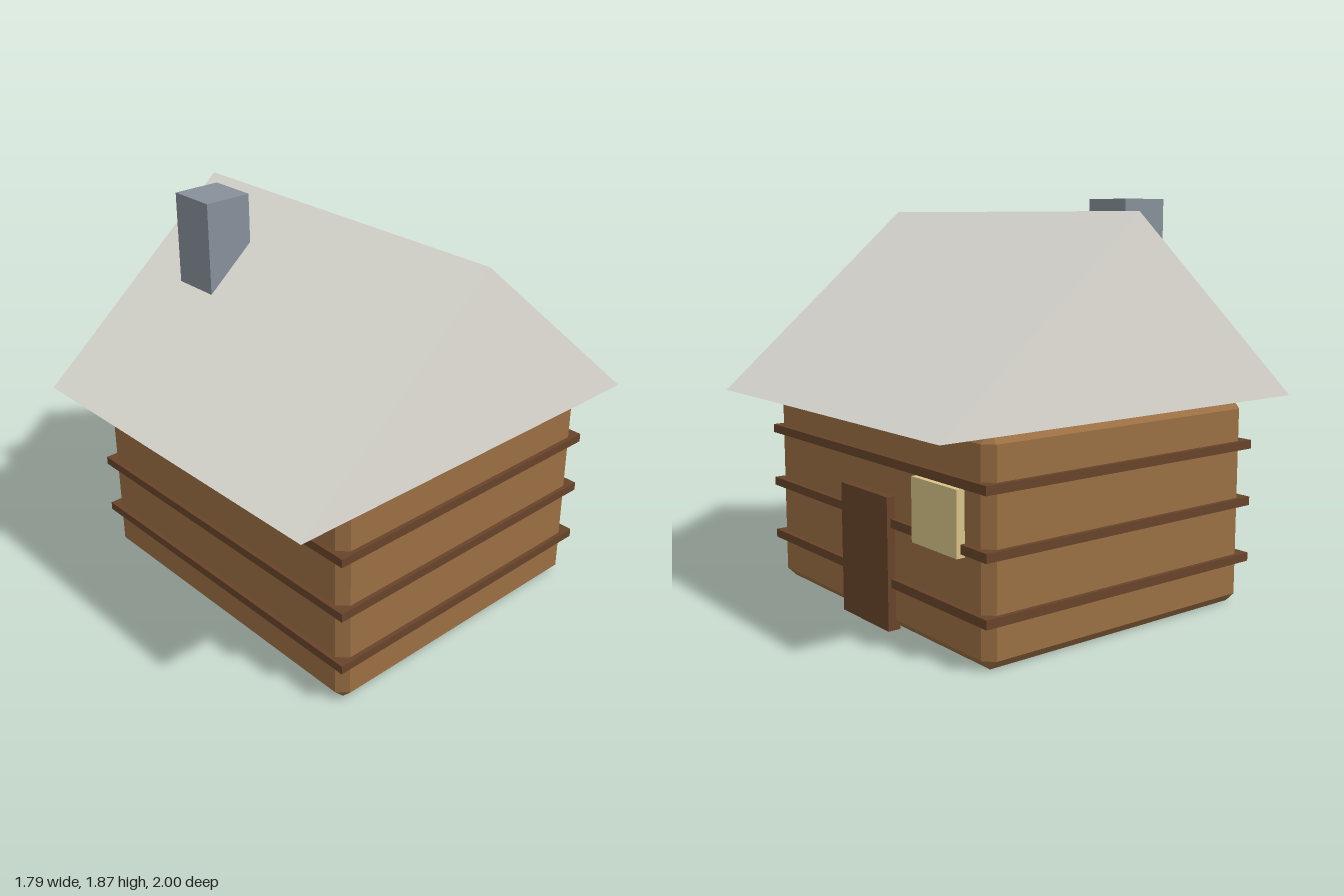
import * as THREE from 'three';
import { ConvexGeometry } from 'three/addons/geometries/ConvexGeometry.js';

const mat = (name, color) => {
  const m = new THREE.MeshStandardMaterial({ color });
  m.name = name;
  return m;
};

// Box with every edge cut by a flat chamfer
function chamferedBox(w, h, d, c) {
  const points = [];
  for (const x of [-w / 2, w / 2]) for (const y of [-h / 2, h / 2]) for (const z of [-d / 2, d / 2]) {
    const ix = x - Math.sign(x) * c, iy = y - Math.sign(y) * c, iz = z - Math.sign(z) * c;
    points.push(
      new THREE.Vector3(x, iy, iz),
      new THREE.Vector3(ix, y, iz),
      new THREE.Vector3(ix, iy, z)
    );
  }
  return new ConvexGeometry(points);
}

export function createModel() {
  const group = new THREE.Group();
  const wood = mat('wall wood', 0x9a6f43);
  const darkWood = mat('dark wood', 0x68442a);
  const roofGrey = mat('pale roof', 0xe4e2da);
  const stone = mat('chimney stone', 0x87909a);
  const glow = mat('window glow', 0xd9c588);

  const add = (name, geometry, material, x, y, z) => {
    const mesh = new THREE.Mesh(geometry, material);
    mesh.name = name;
    mesh.position.set(x, y, z);
    group.add(mesh);
  };
  // Box given by its lowest and highest corners
  const block = (name, material, [x0, y0, z0], [x1, y1, z1]) =>
    add(name, new THREE.BoxGeometry(x1 - x0, y1 - y0, z1 - z0), material,
      (x0 + x1) / 2, (y0 + y1) / 2, (z0 + z1) / 2);

  // Cabin walls
  add('walls', chamferedBox(1.7, 0.965, 1.49, 0.045), wood, 0, 0.4825, 0);

  // Horizontal log bands
  [0.215, 0.4825, 0.75].forEach((y, i) =>
    block('logBand' + (i + 1), darkWood, [-0.87, y - 0.02, -0.767], [0.87, y + 0.02, 0.767]));

  // Gable roof, extruded along x
  const gable = new THREE.Shape();
  gable.moveTo(-1, 0.96);
  gable.lineTo(1, 0.96);
  gable.lineTo(0, 1.81);
  gable.closePath();
  const roof = new THREE.ExtrudeGeometry(gable, { depth: 1.79, bevelEnabled: false });
  roof.translate(0, 0, -0.895).rotateY(Math.PI / 2);
  add('roof', roof, roofGrey, 0, 0, 0);

  // Chimney on the front slope
  block('chimney', stone, [-0.6, 1.4, 0.205], [-0.365, 1.865, 0.438]);

  // Door and window on the back wall
  block('door', darkWood, [-0.19, 0, -0.785], [0.19, 0.6, -0.725]);
  block('window', glow, [-0.7, 0.445, -0.785], [-0.38, 0.727, -0.735]);

  return group;
}
